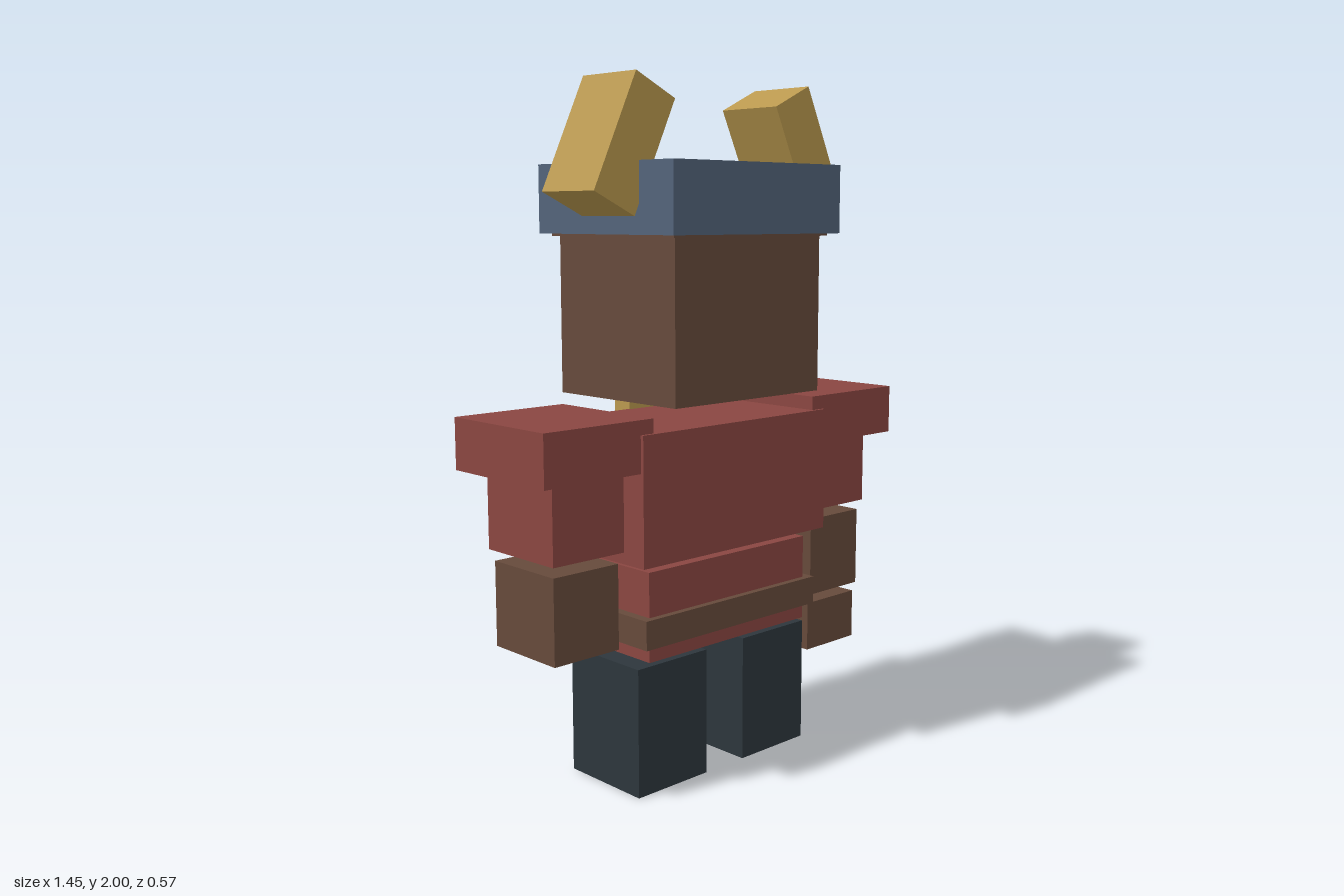
import * as THREE from 'three';

const mat = (name, color) => {
  const m = new THREE.MeshStandardMaterial({ color });
  m.name = name;
  return m;
};

export function createModel() {
  const model = new THREE.Group();
  model.name = 'hornedWarrior';

  const red = mat('red cloth', 0x8a4641);
  const brown = mat('brown leather and skin', 0x664a3b);
  const dark = mat('dark slate', 0x2d363c);
  const blue = mat('helmet blue', 0x53647a);
  const gold = mat('gold', 0xb9984e);
  const steel = mat('steel', 0x929fa7);

  // Box given by its extents on each axis
  const box = (name, material, [x0, x1], [y0, y1], [z0, z1]) => {
    const mesh = new THREE.Mesh(new THREE.BoxGeometry(x1 - x0, y1 - y0, z1 - z0), material);
    mesh.position.set((x0 + x1) / 2, (y0 + y1) / 2, (z0 + z1) / 2);
    mesh.name = name;
    model.add(mesh);
    return mesh;
  };
  // Box given by centre and size, tilted about z
  const tilted = (name, material, size, centre, angle) => {
    const mesh = new THREE.Mesh(new THREE.BoxGeometry(...size), material);
    mesh.position.set(...centre);
    mesh.rotation.z = angle;
    mesh.name = name;
    model.add(mesh);
    return mesh;
  };

  // The body is symmetric about this x; the sword makes up the rest of the width
  const mid = -0.036;
  const centred = (name, material, half, y, z) =>
    box(name, material, [mid - half, mid + half], y, z);

  // Head and helmet
  centred('head', brown, 0.286, [1.115, 1.58], [-0.242, 0.244]);
  centred('helmetLining', brown, 0.303, [1.568, 1.6], [-0.258, 0.258]);
  centred('helmet', blue, 0.328, [1.575, 1.77], [-0.284, 0.284]);

  // Torso, waist and belt
  centred('torso', red, 0.367, [0.68, 1.047], [-0.207, 0.205]);
  centred('tunicSkirt', red, 0.316, [0.397, 0.655], [-0.168, 0.168]);
  centred('belt', brown, 0.344, [0.442, 0.526], [-0.188, 0.188]);

  // Paired parts
  for (const [side, s] of [['left', 1], ['right', -1]]) {
    const pair = (name, material, a, b, y, z) =>
      box(side + name, material, [mid + s * a, mid + s * b].sort((p, q) => p - q), y, z);
    pair('Leg', dark, 0.076, 0.34, [0, 0.377], [-0.147, 0.147]);
    pair('ShoulderPad', red, 0.321, 0.691, [0.942, 1.088], [-0.197, 0.195]);
    pair('Sleeve', red, 0.384, 0.627, [0.72, 0.95], [-0.143, 0.143]);
    pair('Forearm', brown, 0.395, 0.617, [0.445, 0.688], [-0.13, 0.13]);
    pair('Eye', dark, 0.104, 0.158, [1.357, 1.415], [-0.262, -0.23]);
    tilted(side + 'Horn', gold, [0.152, 0.344, 0.218], [mid + s * 0.34, 1.812, 0.042], s * 0.44);
  }

  // Chest strap and clasp
  tilted('chestStrap', brown, [0.107, 0.512, 0.075], [-0.031, 0.8625, -0.2375], -0.594);
  centred('clasp', gold, 0.064, [0.885, 1.072], [-0.268, -0.2]);

  // Sword hand and sword
  box('swordHand', brown, [0.36, 0.578], [0.263, 0.415], [-0.12, 0.12]);
  box('swordGrip', brown, [0.52, 0.583], [0.21, 0.435], [-0.185, -0.12]);
  box('swordGuard', gold, [0.376, 0.727], [0.43, 0.492], [-0.2, -0.108]);
  box('swordBlade', steel, [0.487, 0.617], [0.49, 1.222], [-0.187, -0.122]);

  return model;
}
